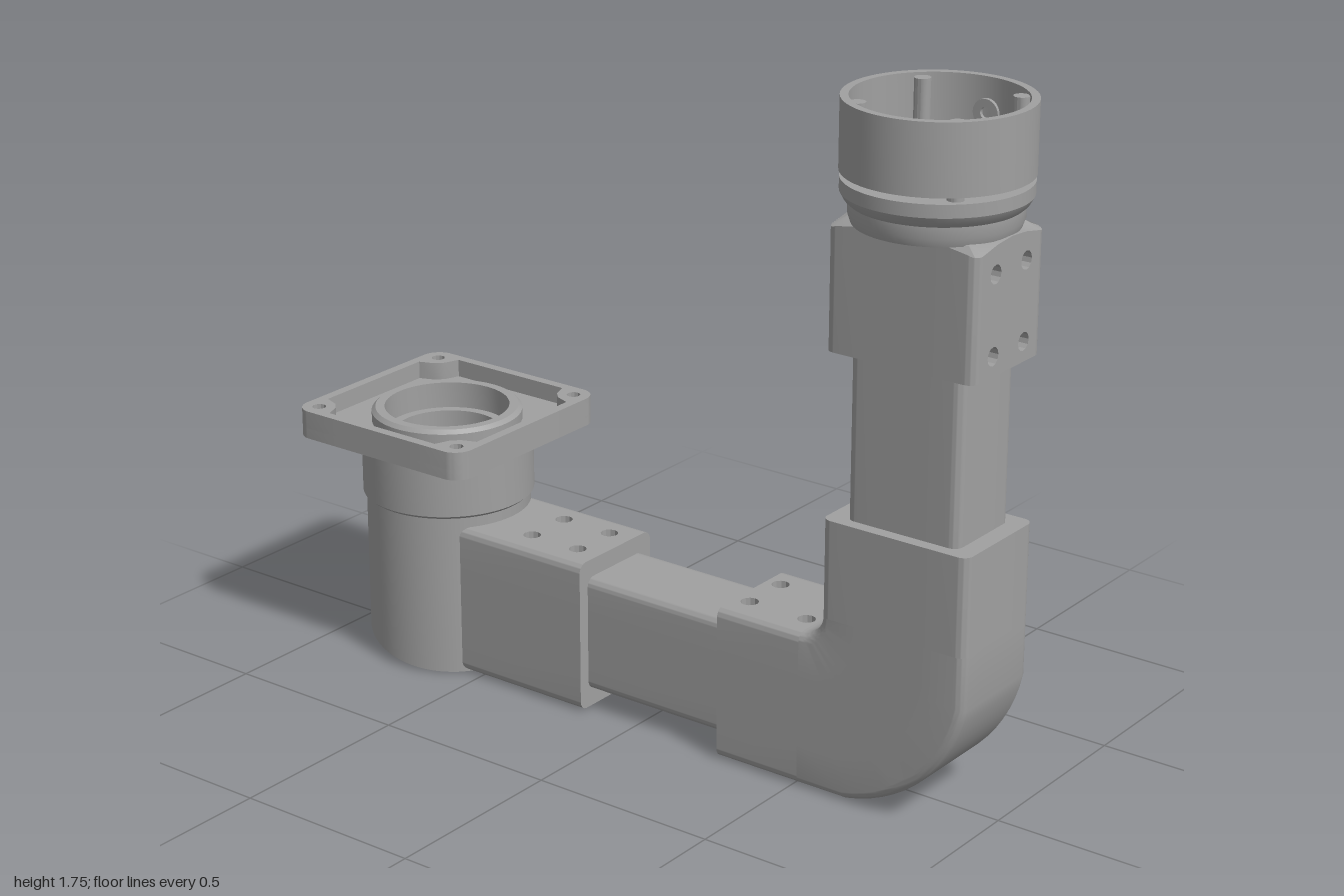
import * as THREE from 'three';
import { toCreasedNormals } from 'three/addons/utils/BufferGeometryUtils.js';

const grey = new THREE.MeshStandardMaterial({ color: 0xa0a0a0 });
grey.name = 'grey metal';

const W = 0.145, H = 0.2025;      // half width and half depth of the sockets
const ZC = 0.775, YC = 0.205;     // centre lines of the upright and the level arm
const BASE_Z = -0.717;            // axis of the flanged base

function mesh(name, geometry, crease = 0.5) {
  const m = new THREE.Mesh(toCreasedNormals(geometry, crease), grey);
  m.name = name;
  return m;
}

function lathe(name, pts, segments = 64) {
  return mesh(name, new THREE.LatheGeometry(pts.map(p => new THREE.Vector2(...p)), segments));
}

const extrude = (shape, depth) =>
  new THREE.ExtrudeGeometry(shape, { depth, bevelEnabled: false, curveSegments: 6 });

function circleHole(shape, x, y, r) {
  const p = new THREE.Path();
  p.absarc(x, y, r, 0, Math.PI * 2, true);
  shape.holes.push(p);
}

// Rounded rectangle, counter-clockwise, with optional recesses for the lids
function outline(w, h, r, top = 0, bottom = 0) {
  const s = new THREE.Shape(), a = w - r, b = h - r, q = Math.PI / 2;
  s.moveTo(w, -b);
  [-0.5, 0, 0.5].forEach(k => s.lineTo(w, b * k));
  s.absarc(a, b, r, 0, q);
  if (top) { s.lineTo(a, h - top); s.lineTo(-a, h - top); s.lineTo(-a, h); }
  else [0.5, 0, -0.5].forEach(k => s.lineTo(a * k, h));
  s.absarc(-a, b, r, q, 2 * q);
  [0.5, 0, -0.5].forEach(k => s.lineTo(-w, b * k));
  s.absarc(-a, -b, r, 2 * q, 3 * q);
  if (bottom) { s.lineTo(-a, top - h); s.lineTo(a, top - h); s.lineTo(a, -h); }
  else [-0.5, 0, 0.5].forEach(k => s.lineTo(a * k, -h));
  s.absarc(a, -b, r, 3 * q, 4 * q);
  return s;
}

function addBore(shape) {
  const p = new THREE.Path();
  p.setFromPoints([[-0.095, -0.12], [-0.095, 0.12], [0.095, 0.12], [0.095, -0.12]]
    .map(c => new THREE.Vector2(...c)));
  p.closePath();
  shape.holes.push(p);
  return shape;
}

// Hollow square tube along local z
const tube = (name, len) => mesh(name, extrude(addBore(outline(0.113, 0.155, 0.025)), len));

// Sleeve along local z with screw holes in its +y wall, and in -y if asked
function socket(name, len, holes, { both = false, coned = false } = {}) {
  const g = new THREE.Group(), r = 0.025, t = 0.04, a = W - r;
  g.name = name;
  // trims the corners of the far end to a shallow cone
  const trim = geo => {
    const p = geo.attributes.position;
    for (let i = 0; coned && i < p.count; i++)
      if (p.getZ(i) > len - 1e-4)
        p.setZ(i, len - 0.5 * Math.max(0, Math.hypot(p.getX(i), p.getY(i)) - 0.2));
    return geo;
  };
  g.add(mesh('sleeve', trim(extrude(addBore(outline(W, H, r, t, both ? t : 0)), len))));
  for (let side = 0; side < (both ? 2 : 1); side++) {
    const lid = new THREE.Shape();
    lid.moveTo(a, 0);
    lid.lineTo(-a, 0);
    [-1, -0.5, 0, 0.5, 1].forEach(k => lid.lineTo(a * k, -len));
    for (const z of holes) for (const x of [-0.065, 0.065]) circleHole(lid, x, -z, 0.023);
    const geo = extrude(lid, t).rotateX(-Math.PI / 2).translate(0, H - t, 0);
    g.add(mesh('screwWall', trim(geo.rotateZ(side * Math.PI))));
  }
  return g;
}

// Turns a part made along local z so that it stands upright
function upright(part, y, facing) {
  const Y = new THREE.Vector3(0, 0, facing), Z = new THREE.Vector3(0, 1, 0);
  const X = Y.clone().cross(Z);
  part.quaternion.setFromRotationMatrix(new THREE.Matrix4().makeBasis(X, Y, Z));
  part.position.set(0, y, ZC);
  return part;
}

function level(part, z) {
  part.position.set(0, YC, z);
  return part;
}

// Bend lofted between the inner fillet and the outer arc
function bend() {
  const kz = ZC - H, ky = YC + H, f = 0.06, R = 0.4125, n = 16, rad = Math.PI / 180;
  const sections = [];
  for (let i = 0; i <= n; i++) {
    const ti = -90 * rad * (1 - i / n);
    const u = (i - 1) / (n - 2), to = (-79 + 68 * u) * rad;
    let outer = [kz + R * Math.cos(to), ky + R * Math.sin(to)];
    if (i === 0) outer = [kz - f, YC - H];
    if (i === n) outer = [ZC + H, ky + f];
    sections.push([[kz - f + f * Math.cos(ti), ky + f + f * Math.sin(ti)], outer]);
  }
  const ring = outline(W, H, 0.025).getPoints(5);
  if (ring[0].distanceTo(ring[ring.length - 1]) < 1e-6) ring.pop();
  const m = ring.length, pos = [], idx = [];
  for (const [inn, out] of sections) for (const p of ring) {
    const v = (p.y + H) / (2 * H);
    pos.push(p.x, out[1] + (inn[1] - out[1]) * v, out[0] + (inn[0] - out[0]) * v);
  }
  for (let s = 0; s < n; s++) for (let i = 0; i < m; i++) {
    const j = (i + 1) % m, a = s * m + i, b = s * m + j;
    idx.push(a, b, b + m, a, b + m, a + m);
  }
  pos.push(0, ky + f, ZC);
  for (let i = 0; i < m; i++) idx.push((n + 1) * m, n * m + i, n * m + (i + 1) % m);
  const geo = new THREE.BufferGeometry();
  geo.setAttribute('position', new THREE.Float32BufferAttribute(pos, 3));
  geo.setIndex(idx);
  return mesh('elbowBend', geo);
}

// Round cup on top of the upright arm
function headCup() {
  const g = new THREE.Group();
  g.name = 'headCup';
  g.add(lathe('neck', [[0.14, 1.455], [0.196, 1.455], [0.203, 1.475], [0.203, 1.503], [0.213, 1.512],
    [0.223, 1.53], [0.223, 1.562], [0.14, 1.562], [0.14, 1.455]]));
  g.add(lathe('cupWall', [[0.205, 1.577], [0.225, 1.577], [0.225, 1.75], [0.205, 1.75], [0.205, 1.577]]));
  for (let i = 0; i < 4; i++) {
    const ang = Math.PI / 4 + i * Math.PI / 2;
    const post = mesh('post', new THREE.CylinderGeometry(0.02, 0.02, 0.185, 16));
    post.position.set(0.188 * Math.cos(ang), 1.65, 0.188 * Math.sin(ang));
    g.add(post);
  }
  const boss = lathe('sideBoss', [[0.014, 0], [0.034, 0], [0.034, 0.032], [0.014, 0.032], [0.014, 0]], 24);
  boss.rotation.z = -Math.PI / 2;
  boss.position.set(0.1945, 1.665, 0);
  g.add(boss);
  g.position.z = ZC;
  return g;
}

// Round base with a sloping underside, a bore and a square flange
function flangedBase() {
  const g = new THREE.Group();
  g.name = 'flangedBase';
  const pts = [[0, 0], [0.05, 0], [0.1, 0], [0.15, 0], [0.19, 0], [0.216, 0], [0.216, 0.435],
    [0.225, 0.443], [0.225, 0.615], [0.197, 0.615], [0.197, 0.66], [0.187, 0.67], [0.163, 0.67],
    [0.163, 0.6], [0.138, 0.6], [0.138, 0.1], [0, 0.1]];
  const geo = new THREE.LatheGeometry(pts.map(p => new THREE.Vector2(...p)), 64);
  const p = geo.attributes.position;
  for (let i = 0; i < p.count; i++)
    if (p.getY(i) < 0.01) p.setY(i, 0.07 * Math.pow(Math.max(0, 0.16 - p.getZ(i)) / 0.376, 1.7));
  g.add(mesh('baseBarrel', geo));

  const plate = (name, y, depth, cut) => {
    const s = outline(0.281, 0.281, 0.05);
    for (const x of [-0.235, 0.235]) for (const z of [-0.235, 0.235]) circleHole(s, x, z, 0.018);
    cut(s);
    const m = mesh(name, extrude(s, depth).rotateX(-Math.PI / 2));
    m.position.y = y;
    g.add(m);
  };
  plate('flangePlate', 0.605, 0.028, s => circleHole(s, 0, 0, 0.196));
  plate('flangeRim', 0.633, 0.047, s => {
    const c = [];
    for (let i = 0; i < 4; i++)
      for (const q of [[0.255, 0.18], [0.215, 0.195], [0.195, 0.215], [0.18, 0.255]])
        c.push(new THREE.Vector2(...q).rotateAround(new THREE.Vector2(), i * Math.PI / 2));
    const hole = new THREE.Path().setFromPoints(c);
    hole.closePath();
    s.holes.push(hole);
  });
  g.position.z = BASE_Z;
  return g;
}

export function createModel() {
  const model = new THREE.Group();
  model.name = 'angledPipeArm';
  model.add(
    headCup(),
    upright(socket('upperSocket', 0.32, [0.05, 0.245], { coned: true }), 1.14, 1),
    upright(tube('uprightTube', 0.56), 0.65, 1),
    upright(socket('elbowUpperSocket', 0.2525, [0.0425, 0.2125]), 0.4675, -1),
    bend(),
    level(socket('elbowLowerSocket', 0.2425, [0.04, 0.21]), 0.27),
    level(tube('levelTube', 0.57), -0.23),
    level(socket('baseSocket', 0.415, [0.195, 0.345], { both: true }), -0.575),
    flangedBase()
  );
  return model;
}
